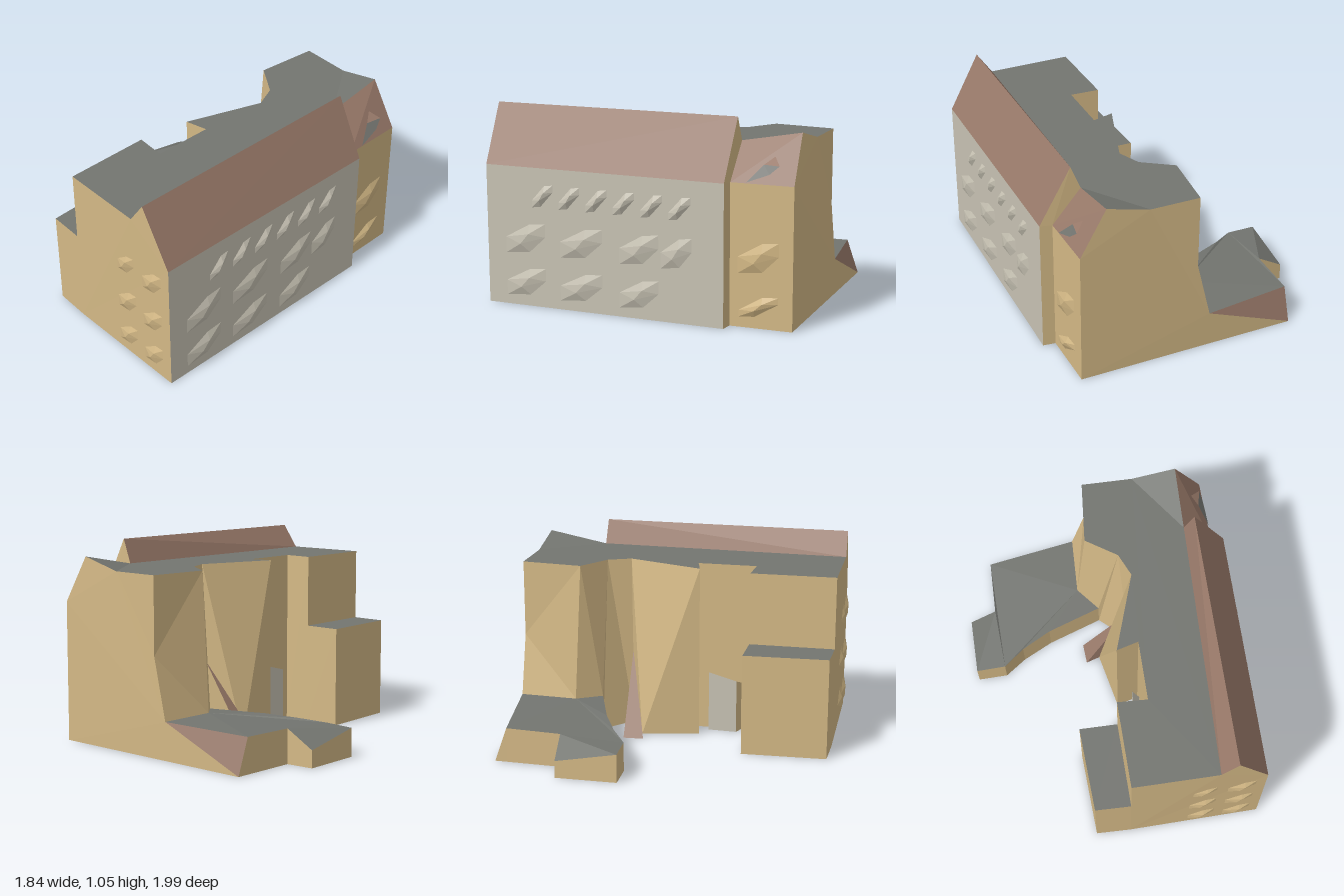
import * as THREE from 'three';

const flat = (color, name) => {
  const m = new THREE.MeshStandardMaterial({ color, flatShading: true, side: THREE.DoubleSide });
  m.name = name;
  return m;
};

// Triangulates one planar-ish polygon by dropping its dominant normal axis
function triangulate(poly, out) {
  const n = [0, 0, 0];
  poly.forEach((a, i) => {
    const b = poly[(i + 1) % poly.length];
    n[0] += (a[1] - b[1]) * (a[2] + b[2]);
    n[1] += (a[2] - b[2]) * (a[0] + b[0]);
    n[2] += (a[0] - b[0]) * (a[1] + b[1]);
  });
  const size = n.map(Math.abs);
  const drop = size.indexOf(Math.max(...size));
  const [u, v] = [[1, 2], [2, 0], [0, 1]][drop];
  const contour = poly.map((p) => new THREE.Vector2(p[u], p[v]));
  for (const t of THREE.ShapeUtils.triangulateShape(contour, []))
    for (const i of n[drop] < 0 ? [t[2], t[1], t[0]] : t) out.push(...poly[i]);
}

export function createModel() {
  const group = new THREE.Group();
  const tan = flat(0xd4b986, 'tan plaster');
  const stone = flat(0xc8c3b4, 'pale stone');
  const brown = flat(0x987969, 'brown tile');
  const slate = flat(0x737570, 'grey roofing');

  const add = (name, material, polys) => {
    const pos = [];
    polys.forEach((p) => triangulate(p, pos));
    const g = new THREE.BufferGeometry();
    g.setAttribute('position', new THREE.Float32BufferAttribute(pos, 3));
    g.computeVertexNormals();
    const mesh = new THREE.Mesh(g, material);
    mesh.name = name;
    group.add(mesh);
  };
  // Upright walls dropped from a line of top points to the ground
  const walls = (tops, base = 0) => tops.slice(1).map((b, i) => {
    const a = tops[i];
    return [a, b, [b[0], base, b[2]], [a[0], base, a[2]]];
  });

  // Main block: stone front, gabled ends and ridged roof
  const H = 0.925;
  const eaveL = [-0.42, 0.745, 0.99], eaveR = [0.68, 0.745, 0.25];
  const ridgeL = [-0.52, 1.05, 0.855], ridgeR = [0.595, 1.053, 0.105];
  const backL = [-0.57, H, 0.785], backR = [0.57, H, 0.06];
  const stepL = [-0.82, H, 0.41], notch = [-0.45, H, 0.155];
  add('frontFacade', stone, walls([eaveL, eaveR]));
  add('mainRoof', brown, [[eaveL, eaveR, ridgeR, ridgeL], [ridgeL, ridgeR, backR, backL]]);
  add('leftGableWall', tan, [
    [[-0.42, 0, 0.99], eaveL, ridgeL, backL, stepL, [-0.82, 0, 0.41]],
  ]);
  add('rightGableWall', tan, [
    [[0.68, 0, 0.25], eaveR, ridgeR, backR, [0.65, 0.74, 0.19], [0.65, 0, 0.19]],
  ]);

  // Right annex with its own sloping roof
  const annexL = [0.65, 0.74, 0.19], annexR = [0.92, 0.74, 0];
  const peak = [0.835, 0.985, -0.115], dip = [0.71, H, -0.31];
  const wingR = [0.565, H, -0.535], wingL = [0.28, H, -0.38];
  const slopeR = [0.525, 0.2, -0.6], slopeL = [0.265, 0.2, -0.44];
  const kink = [0.565, 0.52, -0.535], wingMid = [0.28, H, -0.185];
  const courtA = [0.21, H, -0.075], courtB = [-0.2, H, 0.035];
  const courtC = [-0.11, H, 0.115], courtD = [-0.37, H, 0.29];
  add('annexFront', tan, walls([annexL, annexR]));
  add('annexRoof', brown, [[annexL, annexR, peak, backR]]);
  add('rightSideWall', tan, [
    [[0.92, 0, 0], annexR, peak, dip, wingR, kink, slopeR, [0.255, 0, -1]],
  ]);

  // Flat roof over the tall parts
  add('flatRoof', slate, [
    [backL, backR, dip, wingR, wingL, wingMid, courtA, courtB, courtC, courtD, notch, stepL],
    [backR, peak, dip],
  ]);

  // Courtyard walls, leaning outwards at the foot
  const foot = [0.015, 0, -0.185], innerLow = [0.22, 0.19, -0.285];
  add('courtyardWalls', tan, [
    ...walls([courtB, courtC, courtD, notch]),
    [courtB, foot, [-0.2, 0, 0.035]],
    [courtB, courtA, foot],
    [courtA, [0.19, 0, -0.08], foot],
    [courtA, wingMid, [0.19, 0, -0.08]],
    [wingMid, innerLow, [0.22, 0, -0.285]],
    [wingMid, [0.22, 0, -0.285], [0.19, 0, -0.08]],
    [wingMid, wingL, innerLow], [wingL, slopeL, innerLow],
  ]);
  add('wingBackWall', tan, [[wingR, wingL, kink], [wingL, slopeL, kink], [kink, slopeL, slopeR]]);

  // Left low extension
  const low = [[-0.82, 0.54, 0.41], [-0.92, 0.54, 0.25], [-0.56, 0.54, -0.015], [-0.45, 0.54, 0.155]];
  add('leftExtensionWalls', tan, walls(low));
  add('leftExtensionRoof', slate, [low]);
  add('leftUpperWall', tan, walls([stepL, notch], 0.54));

  // Low back wing
  const rim = [
    [0.2, 0.185, -0.965], [-0.045, 0.18, -0.81], [-0.135, 0.09, -0.925], [-0.4, 0.15, -0.745],
    [-0.31, 0.155, -0.615], [-0.18, 0.175, -0.565], [-0.025, 0.19, -0.475], innerLow,
  ];
  add('backWingRoof', slate, [
    [slopeR, rim[0], rim[1], rim[4], rim[5], rim[6], innerLow, slopeL],
    [rim[1], rim[2], rim[3], rim[4]],
  ]);
  add('backWingWalls', tan, [...walls(rim), [[0.255, 0, -1], rim[0], [0.2, 0, -0.965]]]);
  add('backWingHip', brown, [[[0.255, 0, -1], rim[0], slopeR]]);

  // Courtyard ramp
  const rampTop = [0.195, 0.41, -0.08], rampB = [0.04, 0, -0.3], rampC = [-0.045, 0, -0.235];
  add('courtyardRamp', brown, [[rampTop, rampB, foot], [rampTop, rampC, foot], [rampB, rampC, rampTop]]);

  // Courtyard porch wedge
  const porch = [[-0.32, 0.29, 0.2], [-0.19, 0.33, 0.12], [-0.17, 0.22, 0.155]];
  add('porch', stone, [porch, ...walls([porch[0], porch[1], porch[2]])]);
  add('porchSide', tan, walls([porch[0], [-0.31, 0.27, 0.25], porch[2]]));

  // Small dormer on the annex roof
  const dorm = [[0.72, 0.745, 0.145], [0.76, 0.832, 0.065], [0.84, 0.832, 0.03], [0.81, 0.79, 0.07]];
  add('dormerFront', slate, [[dorm[0], dorm[1], dorm[3]], [dorm[1], dorm[2], dorm[3]]]);
  add('dormerTop', brown, [[dorm[1], dorm[2], [0.78, 0.87, 0.01]]]);

  // Skewed raised windows; each is placed on a wall line by its x range and heights
  const outline = [[0, 0], [0, 0.5], [0.6, 0.95], [1, 1], [1, 0.58], [0.6, 0.08]];
  const sliver = [[0, 0], [0, 0.3], [0.6, 0.95], [1, 1], [1, 0.7], [0.4, 0.05]];
  const windows = (name, mat, from, to, list) => {
    const dx = to[0] - from[0], dz = to[1] - from[1], len = Math.hypot(dx, dz);
    const out = [], back = [];
    for (const [x0, x1, y0, y1, shape = outline] of list) {
      const at = (u, v, o) => {
        const x = x0 + (x1 - x0) * u;
        return [x - dz / len * o, y0 + (y1 - y0) * v, from[1] + (x - from[0]) / dx * dz + dx / len * o];
      };
      const ring = shape.map(([u, v]) => at(u, v, 0.003));
      const hi = at(0.6, 0.66, 0.02), lo = at(0.4, 0.34, 0.02);
      out.push([ring[0], ring[1], lo], [ring[1], ring[2], hi], [ring[1], hi, lo], [ring[2], ring[3], hi],
        [ring[3], ring[4], hi], [ring[4], ring[5], lo], [ring[4], lo, hi], [ring[5], ring[0], lo]);
      back.push(shape.map(([u, v]) => at(u, v, -0.004)));
    }
    add(name, mat, out);
    add(name + 'InnerPanes', slate, back);
  };
  const cols = [[-0.33, -0.14], [-0.07, 0.13], [0.21, 0.39], [0.4, 0.54]];
  const front = [];
  cols.forEach(([a, b], i) => {
    front.push([a, b, 0.28, 0.45]);
    if (i < 3) front.push([a, b, 0.05, 0.21]);
  });
  for (let i = 0; i < 6; i++) front.push([-0.2 + i * 0.127, -0.1 + i * 0.127, 0.535, 0.66, sliver]);
  windows('facadeWindows', stone, [-0.42, 0.99], [0.68, 0.25], front);
  windows('annexWindows', tan, [0.65, 0.19], [0.92, 0],
    [[0.685, 0.86, 0.28, 0.45], [0.69, 0.86, 0.055, 0.17, sliver]]);
  const side = [];
  for (const x of [-0.64, -0.53])
    for (const y of [0.05, 0.28, 0.53]) side.push([x, x + 0.08, y, y + 0.14]);
  windows('leftWindows', tan, [-0.92, 0.25], [-0.42, 0.99], side);

  return group;
}
